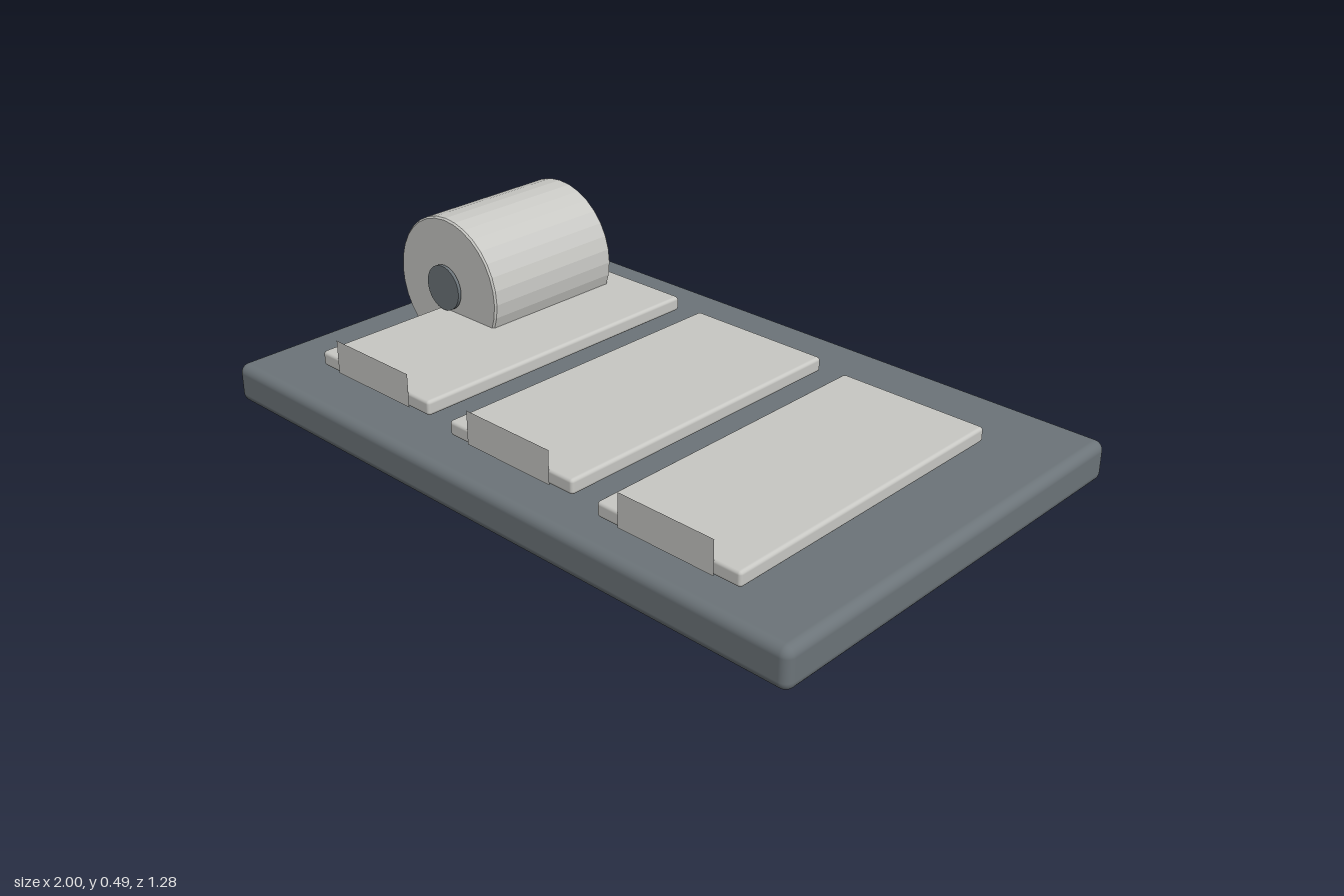
import * as THREE from 'three';
import { RoundedBoxGeometry } from 'three/addons/geometries/RoundedBoxGeometry.js';

const paper = new THREE.MeshStandardMaterial({ name: 'pale grey', color: 0xc8c8c4 });
const slate = new THREE.MeshStandardMaterial({ name: 'slate grey', color: 0x6c7479 });
const card = new THREE.MeshStandardMaterial({ name: 'pale grey card', color: 0xc8c8c4, side: THREE.DoubleSide });

export function createModel() {
  const model = new THREE.Group();
  model.name = 'displayTray';

  const add = (name, geometry, material, x, y, z) => {
    const mesh = new THREE.Mesh(geometry, material);
    mesh.name = name;
    mesh.position.set(x, y, z);
    model.add(mesh);
    return mesh;
  };

  // Rounded base board
  add('base', new RoundedBoxGeometry(2, 0.115, 1.28, 4, 0.027), slate, 0, 0.0575, 0);

  // Three slabs stepping down to the left, each with a thin label at the front
  for (let i = 0; i < 3; i++) {
    const x = -0.492 + i * 0.527;
    const y = 0.193 - i * 0.0225;
    add('slab' + (i + 1), new RoundedBoxGeometry(0.447, 0.043, 0.94, 2, 0.01), paper, x, y, 0.075);
    add('label' + (i + 1), new THREE.PlaneGeometry(0.297, 0.095), card, x, y + 0.029, 0.549);
  }

  // Roll lying along z, sunk a little into the base, with softened rims
  const r = 0.205, h = 0.225, b = 0.005;
  const profile = [[0, -h], [r - b, -h], [r, -h + b], [r, h - b], [r - b, h], [0, h]]
    .map(([px, py]) => new THREE.Vector2(px, py));
  const rollGeometry = new THREE.LatheGeometry(profile, 32).toNonIndexed();
  rollGeometry.computeVertexNormals();
  add('roll', rollGeometry, paper, -0.68, 0.287, -0.095).rotation.x = Math.PI / 2;

  // Dark core disc on the front of the roll
  add('rollCore', new THREE.CylinderGeometry(0.067, 0.067, 0.01, 32), slate, -0.68, 0.287, 0.142)
    .rotation.x = Math.PI / 2;

  return model;
}
